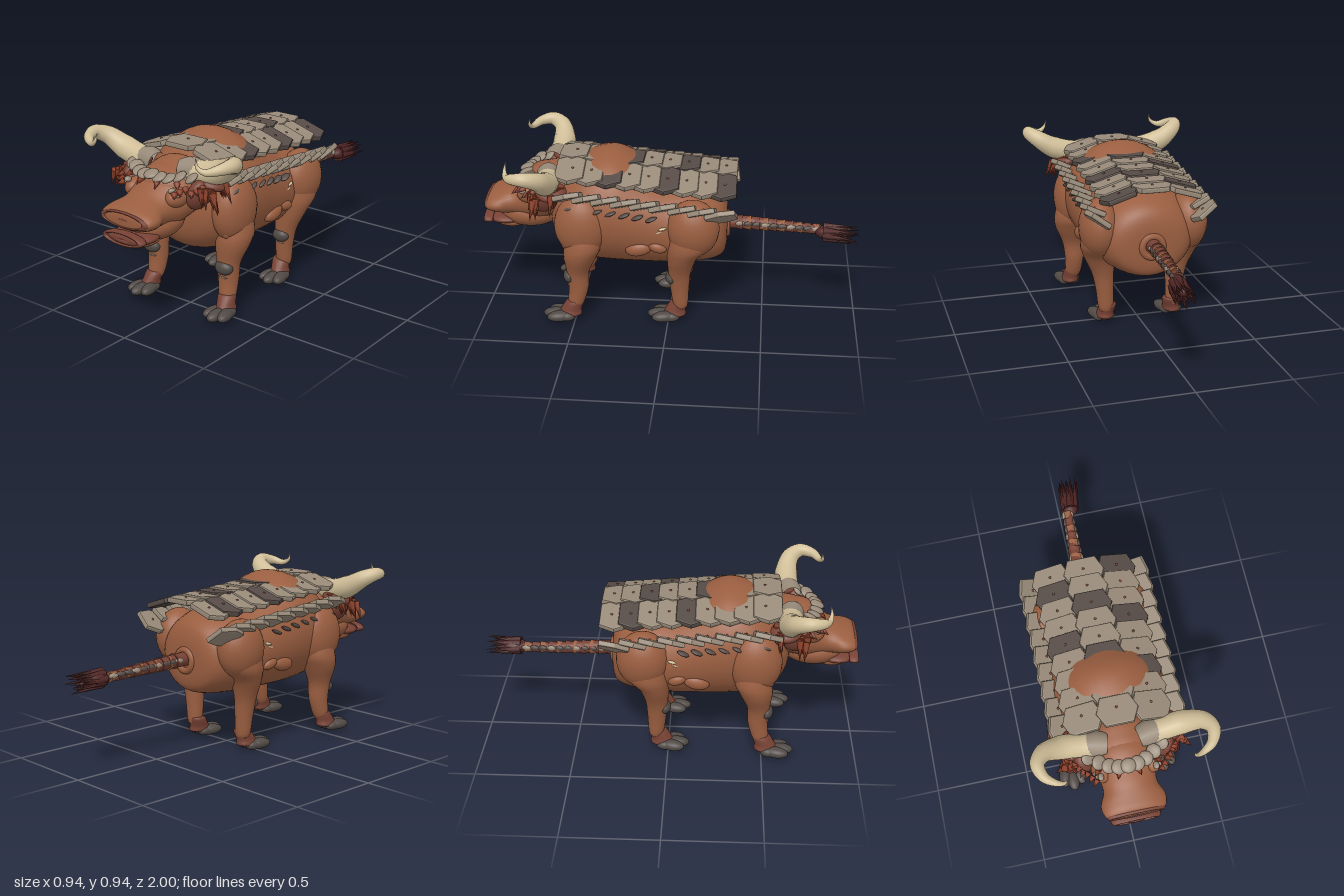
import * as THREE from 'three';

const mat = (name, color) => Object.assign(new THREE.MeshStandardMaterial({ color }), { name });

export function createModel() {
  const root = new THREE.Group();
  root.name = 'armouredBull';
  const skin = mat('brown skin', 0x9a5e40), red = mat('red brown skin', 0x774134), hair = mat('rust hair', 0x8e412b);
  const tuftMat = mat('dark red tuft', 0x502625), plateMat = mat('stone plate', 0x988a79), darkMat = mat('dark plate', 0x564b46);
  const hoofMat = mat('hoof', 0x504945), hornMat = mat('horn', 0xd0be98);

  const add = (name, geo, m, parent = root) => {
    const mesh = new THREE.Mesh(geo, m);
    mesh.name = name;
    parent.add(mesh);
    return mesh;
  };
  const ball = (name, m, p, r, rot = [0, 0, 0]) => {
    const b = add(name, new THREE.SphereGeometry(1, 24, 16), m);
    b.position.set(...p); b.scale.set(...r); b.rotation.set(...rot);
    return b;
  };
  // Smooth skin over elliptical sections: [along, centre1, centre2, radius1, radius2]
  const loft = (name, m, rows, axis, seg = 32, steps = 5) => {
    const spine = new THREE.CatmullRomCurve3(rows.map(r => new THREE.Vector3(r[0], r[1], r[2])), false, 'catmullrom', 0.5);
    const size = new THREE.CatmullRomCurve3(rows.map(r => new THREE.Vector3(r[3], r[4], 0)), false, 'catmullrom', 0.5);
    const n = (rows.length - 1) * steps, pos = [], idx = [];
    for (let i = 0; i <= n; i++) {
      const c = spine.getPoint(i / n), r = size.getPoint(i / n);
      for (let j = 0; j < seg; j++) {
        const a = j / seg * Math.PI * 2;
        const u = c.y + Math.max(r.x, 0) * Math.cos(a), v = c.z + Math.max(r.y, 0) * Math.sin(a);
        if (axis === 'z') pos.push(u, v, c.x); else pos.push(u, c.x, v);
        if (i === n) continue;
        const p = i * seg + j, q = i * seg + (j + 1) % seg;
        if (axis === 'z') idx.push(p, q, q + seg, p, q + seg, p + seg);
        else idx.push(p, q + seg, q, p, p + seg, q + seg);
      }
    }
    const g = new THREE.BufferGeometry();
    g.setAttribute('position', new THREE.Float32BufferAttribute(pos, 3));
    g.setIndex(idx);
    g.computeVertexNormals();
    return add(name, g, m);
  };
  // Tube whose radius follows a rule
  const taper = (name, m, pts, radius, steps = 40) => {
    const curve = new THREE.CatmullRomCurve3(pts.map(p => new THREE.Vector3(...p)));
    const g = new THREE.TubeGeometry(curve, steps, 1, 16), pos = g.attributes.position, v = new THREE.Vector3();
    for (let i = 0; i < pos.count; i++) {
      const t = Math.floor(i / 17) / steps, c = curve.getPointAt(t);
      v.fromBufferAttribute(pos, i).sub(c).multiplyScalar(radius(t)).add(c);
      pos.setXYZ(i, v.x, v.y, v.z);
    }
    return add(name, g, m);
  };
  // Pointed lock of hair from a root toward a direction
  const lock = (name, m, p, dir, len, r) => {
    const g = new THREE.ConeGeometry(r, len, 6).translate(0, len / 2, 0);
    const c = add(name, g, m);
    c.position.set(...p);
    c.quaternion.setFromUnitVectors(new THREE.Vector3(0, 1, 0), new THREE.Vector3(...dir).normalize());
    return c;
  };
  let seed = 7;
  const rnd = () => (seed = (seed * 16807) % 2147483647) / 2147483647;

  // Barrel body with a shoulder hump
  loft('body', skin, [
    [-0.305, 0, 0.5, 0, 0], [-0.295, 0, 0.5, 0.14, 0.13], [-0.25, 0, 0.515, 0.22, 0.19], [-0.14, 0, 0.53, 0.275, 0.225],
    [0, 0, 0.54, 0.29, 0.245], [0.15, 0, 0.572, 0.3, 0.28], [0.3, 0, 0.605, 0.31, 0.312],
    [0.45, 0, 0.595, 0.3, 0.285], [0.56, 0, 0.575, 0.24, 0.215], [0.62, 0, 0.57, 0.14, 0.13], [0.645, 0, 0.57, 0, 0]], 'z', 40);

  // Head, jaw and lips
  loft('head', skin, [
    [0.48, 0, 0.68, 0, 0], [0.53, 0, 0.68, 0.17, 0.14], [0.62, 0, 0.68, 0.185, 0.145], [0.7, 0, 0.66, 0.18, 0.14],
    [0.78, 0, 0.635, 0.145, 0.115], [0.84, 0, 0.622, 0.14, 0.088], [0.9, 0, 0.617, 0.165, 0.07],
    [0.95, 0, 0.615, 0.16, 0.055], [0.975, 0, 0.612, 0.13, 0.035], [0.98, 0, 0.612, 0, 0]], 'z');
  ball('jaw', skin, [0, 0.55, 0.76], [0.135, 0.09, 0.17]);
  ball('chin', skin, [0, 0.495, 0.86], [0.1, 0.04, 0.1]);
  ball('crown', skin, [0, 0.72, 0.66], [0.15, 0.095, 0.13]);
  const lip = (name, y, z, rx, ry) => {
    const t = add(name + 'Rim', new THREE.TorusGeometry(1, 0.16, 10, 36), red);
    t.position.set(0, y, z); t.scale.set(rx, ry, 0.16);
    ball(name, red, [0, y, z], [rx, ry, 0.022]);
  };
  lip('nosePad', 0.615, 0.958, 0.132, 0.036);
  lip('mouth', 0.522, 0.972, 0.112, 0.029);
  ball('lowerLip', red, [0, 0.515, 0.89], [0.122, 0.034, 0.11]);

  // Brow band of flat stone scales and a few small leaf locks
  for (let i = -4; i <= 4; i++) {
    const x = i * 0.046;
    ball('browScale', plateMat, [x, 0.785 + 0.006 * Math.cos(i * 2), 0.77 - x * x * 2.4], [0.038, 0.015, 0.038], [0.35, i * 0.1, i * 0.12]);
    if (i % 2) lock('browLock', hair, [x * 1.05, 0.765, 0.79 - x * x * 2], [i * 0.2, -0.6, 0.6], 0.045, 0.018);
  }

  for (const s of [1, -1]) {
    // Horn sweeping out, forward and back in
    taper('horn', hornMat, [[0.13 * s, 0.79, 0.63], [0.22 * s, 0.8, 0.62], [0.32 * s, 0.83, 0.62], [0.4 * s, 0.878, 0.645],
      [0.436 * s, 0.9, 0.7], [0.415 * s, 0.893, 0.765], [0.36 * s, 0.88, 0.803], [0.325 * s, 0.9, 0.815], [0.312 * s, 0.942, 0.81]],
      t => t < 0.3 ? 0.061 : 0.061 * Math.pow(Math.max(1 - (t - 0.3) / 0.7, 0), 0.9) + 0.001, 56);
    taper('hornCuff', plateMat, [[0.08 * s, 0.795, 0.64], [0.13 * s, 0.8, 0.63], [0.185 * s, 0.803, 0.622]], t => 0.051 + 0.013 * Math.sin(t * Math.PI), 12);
    ball('brow', skin, [0.13 * s, 0.69, 0.735], [0.05, 0.05, 0.07]);
    for (let i = 0; i < 2; i++)
      ball('templeScale', plateMat, [(0.14 + 0.022 * i) * s, 0.738 - 0.024 * i, 0.785 - 0.02 * i], [0.016, 0.013, 0.02], [0, 0, 0.5 * s]);
    // Ear with shaggy locks
    ball('ear', red, [0.205 * s, 0.7, 0.655], [0.052, 0.085, 0.08], [0, 0, -0.35 * s]);
    ball('earRoot', red, [0.245 * s, 0.755, 0.6], [0.075, 0.035, 0.08], [0, 0, -0.3 * s]);
    for (let i = 0; i < 14; i++) {
      const k = (i % 7) / 6, row = Math.floor(i / 7);
      lock('earLock', hair, [(0.24 + 0.065 * k) * s, 0.785 - 0.03 * row - 0.025 * k, 0.55 + 0.1 * row + 0.06 * rnd()],
        [(0.1 + 0.3 * k) * s, -0.9, 0.4 * (rnd() - 0.4)], 0.08 + 0.035 * rnd(), 0.02);
    }
    for (let i = 0; i < 6; i++)
      lock('cheekLock', hair, [(0.25 - 0.018 * i) * s, 0.75 - 0.012 * (i % 3), 0.69 + 0.02 * i], [0.5 * s, -0.3, 0.6], 0.045, 0.018);

    // Front leg
    ball('shoulder', skin, [0.25 * s, 0.575, 0.45], [0.1, 0.17, 0.14]);
    loft('frontLeg', skin, [[0.09, 0.24 * s, 0.495, 0, 0], [0.1, 0.24 * s, 0.495, 0.04, 0.038], [0.2, 0.235 * s, 0.477, 0.053, 0.053],
      [0.3, 0.238 * s, 0.477, 0.064, 0.06], [0.4, 0.253 * s, 0.46, 0.09, 0.088], [0.47, 0.263 * s, 0.442, 0.087, 0.095],
      [0.56, 0.26 * s, 0.44, 0.06, 0.07], [0.6, 0.26 * s, 0.44, 0, 0]], 'y', 24);
    ball('frontForearm', skin, [0.247 * s, 0.365, 0.505], [0.055, 0.033, 0.04]);
    ball('frontElbow', skin, [0.268 * s, 0.48, 0.53], [0.022, 0.04, 0.025]);
    ball('frontKneePad', hoofMat, [0.24 * s, 0.275, 0.52], [0.052, 0.038, 0.035]);
    // Hind leg
    ball('haunch', skin, [0.24 * s, 0.575, -0.13], [0.107, 0.155, 0.138]);
    loft('hindLeg', skin, [[0.08, 0.19 * s, -0.065, 0, 0], [0.09, 0.19 * s, -0.065, 0.038, 0.036], [0.2, 0.195 * s, -0.06, 0.048, 0.05],
      [0.3, 0.205 * s, -0.06, 0.06, 0.06], [0.4, 0.225 * s, -0.075, 0.085, 0.08], [0.48, 0.245 * s, -0.11, 0.09, 0.11],
      [0.58, 0.24 * s, -0.12, 0.07, 0.1], [0.62, 0.24 * s, -0.12, 0, 0]], 'y', 24);
    ball('hindKneePad', hoofMat, [0.2 * s, 0.265, -0.018], [0.048, 0.036, 0.033]);
    for (const [x, z] of [[0.236, 0.524], [0.195, -0.016]])
      ball('shinScale', plateMat, [x * s, 0.224, z], [0.028, 0.006, 0.01]);
    // Feet
    for (const [x, y, z] of [[0.255, 0.05, 0.5], [0.19, 0.036, -0.055]]) {
      loft('ankle', red, [[y - 0.005, x * s, z + 0.025, 0, 0], [y, x * s, z + 0.025, 0.045, 0.06], [y + 0.03, (x - 0.005) * s, z + 0.018, 0.045, 0.055],
        [y + 0.08, (x - 0.014) * s, z - 0.005, 0.043, 0.041], [y + 0.085, (x - 0.014) * s, z - 0.005, 0, 0]], 'y', 20);
      for (let i = -1; i <= 1; i++) {
        ball('toe', hoofMat, [(x + i * 0.036) * s, y - 0.001, z + 0.1 - 0.025 * Math.abs(i)], [0.035, 0.029, 0.068], [0, i * s * 0.25, 0]);
        ball('heel', hoofMat, [(x + i * 0.03) * s, y - 0.003, z + 0.045], [0.032, 0.027, 0.052]);
      }
    }
    // Flank folds and loose scales
    ball('flankFold', skin, [0.268 * s, 0.46, 0.15], [0.035, 0.04, 0.07], [0.2, 0, 0]);
    ball('flankFold', skin, [0.272 * s, 0.475, 0.05], [0.03, 0.03, 0.05], [-0.3, 0, 0]);
    for (let i = 0; i < 7; i++)
      ball('flankScale', darkMat, [0.296 * s, 0.69 - i * 0.008, 0.5 - i * 0.07], [0.02, 0.01, 0.032], [0.4, 0, 0]);
    for (let i = 0; i < 2; i++)
      ball('flankChip', hornMat, [(0.284 - 0.002 * i) * s, 0.585 - 0.02 * i, 0.025 + 0.02 * i], [0.012, 0.008, 0.024], [0.2, 0, 0]);
  }

  // Back armour of six-sided plates; the side rows flare upward
  const plateGeo = (w, l) => {
    const sh = new THREE.Shape([[-w, -0.1 * l], [-0.68 * w, -l], [0.68 * w, -l], [w, -0.1 * l], [0.7 * w, 0.9 * l], [-0.7 * w, 0.9 * l]]
      .map(p => new THREE.Vector2(...p)));
    return new THREE.ExtrudeGeometry(sh, { depth: 0.014, bevelThickness: 0.008, bevelSize: 0.008, bevelSegments: 2 })
      .translate(0, 0, -0.007).rotateX(-Math.PI / 2);
  };
  const backGeo = plateGeo(0.098, 0.07), sideGeo = plateGeo(0.066, 0.066), rearGeo = plateGeo(0.072, 0.075);
  const plate = (name, geo, m, x, y, z, roll, pitch) => {
    const p = add(name, geo, m);
    p.position.set(x, y, z);
    p.rotation.set(pitch, 0, roll);
    const d = add('rivet', new THREE.SphereGeometry(0.007, 8, 6), red, p);
    d.position.set(0, 0.014, -0.01);
  };
  for (let i = 0; i < 9; i++) {
    const z = -0.28 + 0.098 * i;
    for (const c of [-1, 0, 1]) {
      const dark = i < 7 && i % 3 === [1, 2, 0][c + 1];
      plate('backPlate', backGeo, dark ? darkMat : plateMat, c * 0.172, 0.838 + 0.085 * z - 0.03 * Math.abs(c), z, -c * 0.3, 0.02);
    }
    for (const s of [-1, 1])
      plate('sidePlate', i ? sideGeo : rearGeo, plateMat, s * 0.282, 0.702 + 0.09 * z - (i ? 0 : 0.012), z, s * (i ? 0.45 : 0.65), 0.22);
  }

  // Tail with a ringed stem and a dark tuft
  const ring = add('tailRoot', new THREE.TorusGeometry(0.055, 0.02, 10, 28), skin);
  ring.position.set(0, 0.5, -0.297);
  taper('tail', red, [[0, 0.51, -0.28], [0, 0.505, -0.45], [0.005, 0.495, -0.62], [0.025, 0.485, -0.82]], t => 0.038 - 0.016 * t);
  for (let i = 0; i < 10; i++) {
    const z = -0.36 - i * 0.045, r = 0.042 - i * 0.0015, x = 0.012 * i / 9, y = 0.507 - i * 0.002;
    const g = new THREE.CylinderGeometry(r * 0.75, r, 0.045, 12).rotateX(Math.PI / 2);
    add('tailSegment', g, i % 2 ? skin : red).position.set(x, y, z);
    for (const s of [-1, 1])
      ball('tailScale', i % 3 ? darkMat : plateMat, [x + s * r * 0.72, y + 0.006, z - 0.01], [0.011, 0.014, 0.026], [0, s * 0.2, 0]);
  }
  ball('tuftCore', tuftMat, [0.035, 0.483, -0.845], [0.046, 0.038, 0.08]);
  for (let i = 0; i < 20; i++) {
    const a = i * 2.4, r = 0.034 * Math.sqrt(i / 20);
    lock('tuftLock', tuftMat, [0.035 + r * Math.cos(a), 0.483 + r * Math.sin(a), -0.81],
      [0.1 + 0.16 * Math.cos(a), -0.04 + 0.1 * Math.sin(a), -1], 0.15 + 0.045 * rnd(), 0.022);
  }
  return root;
}
